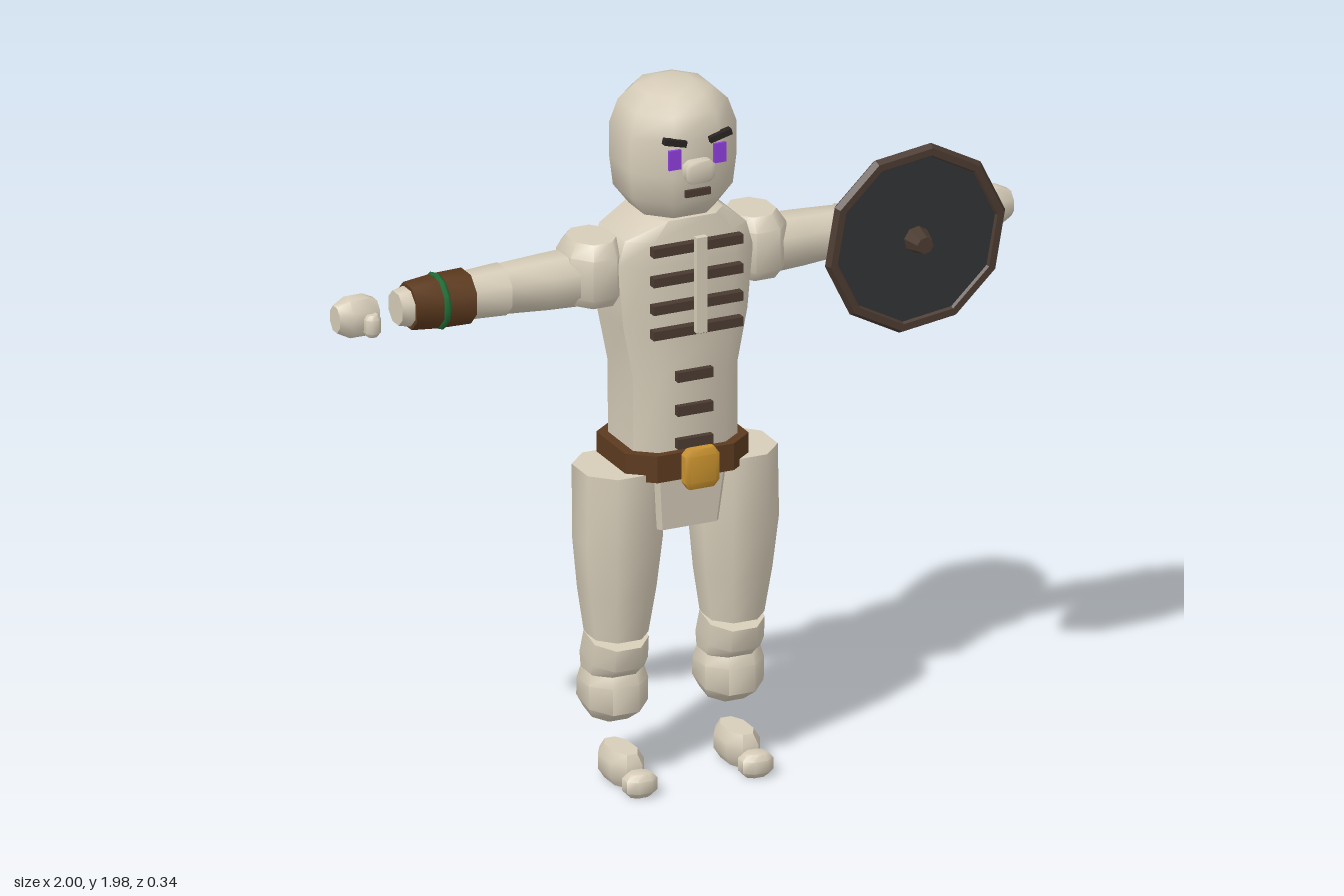
import * as THREE from 'three';
import { toCreasedNormals } from 'three/addons/utils/BufferGeometryUtils.js';

const mat = (name, color) => {
  const m = new THREE.MeshStandardMaterial({ color });
  m.name = name;
  return m;
};

// Capped octagonal loft, bottom to top. Section: [y, cx, cz, halfX, halfZ, tilt in z]
function loft(sections, f = 0.45, crease = 0.85) {
  const ring = [[1, -f], [1, f], [f, 1], [-f, 1], [-1, f], [-1, -f], [-f, -1], [f, -1]];
  const n = ring.length, pos = [], idx = [];
  for (const [y, cx, cz, hx, hz, tilt = 0] of sections)
    for (const [px, pz] of ring) pos.push(cx + px * hx, y + tilt * pz * hz, cz + pz * hz);
  const last = (sections.length - 1) * n;
  const bottom = pos.length / 3, top = bottom + 1;
  for (const [y, cx, cz] of [sections[0], sections[sections.length - 1]]) pos.push(cx, y, cz);
  for (let k = 0; k < n; k++) {
    const k1 = (k + 1) % n;
    for (let r = 0; r < last; r += n)
      idx.push(r + k, r + n + k, r + k1, r + k1, r + n + k, r + n + k1);
    idx.push(bottom, k, k1, top, last + k1, last + k);
  }
  const g = new THREE.BufferGeometry();
  g.setAttribute('position', new THREE.Float32BufferAttribute(pos, 3));
  g.setIndex(idx);
  return toCreasedNormals(g, crease);
}

export function createModel() {
  const root = new THREE.Group();
  root.name = 'skeletonWarrior';

  const bone = mat('bone', 0xd6ccb8);
  const leather = mat('leather', 0x5c3a1e);
  const darkBrown = mat('darkBrown', 0x4a3a30);
  const iron = mat('iron', 0x323335);
  const gold = mat('gold', 0xc9922e);
  const green = mat('green', 0x1f6b35);
  const purple = mat('purple', 0x8f3fdc);
  const black = mat('black', 0x2a2422);

  const add = (name, geo, m, parent = root) => {
    const mesh = new THREE.Mesh(geo, m);
    mesh.name = name;
    parent.add(mesh);
    return mesh;
  };
  const box = (name, m, w, h, d, x, y, z) => {
    const b = add(name, new THREE.BoxGeometry(w, h, d), m);
    b.position.set(x, y, z);
    return b;
  };

  // Head
  add('head', loft([
    [1.615, 0, -0.02, 0.1, 0.1], [1.68, 0, -0.02, 0.148, 0.14], [1.76, 0, -0.02, 0.157, 0.148],
    [1.86, 0, -0.02, 0.157, 0.15], [1.925, 0, -0.02, 0.135, 0.135], [1.965, 0, -0.02, 0.095, 0.1],
    [1.98, 0, -0.02, 0.05, 0.055],
  ], 0.45, 1.1), bone);

  // Face
  add('nose', loft([
    [1.743, 0, 0.143, 0.03, 0.014], [1.757, 0, 0.143, 0.042, 0.018],
    [1.793, 0, 0.143, 0.042, 0.018], [1.805, 0, 0.143, 0.03, 0.014],
  ], 0.7), bone);
  box('mouth', darkBrown, 0.074, 0.02, 0.009, 0, 1.71, 0.136);
  for (const s of [-1, 1]) {
    box('eye', purple, 0.036, 0.056, 0.009, s * 0.067, 1.813, 0.133);
    const brow = box('brow', black, 0.066, 0.017, 0.02, s * 0.067, 1.863, 0.133);
    brow.rotation.z = s * 0.25;
  }

  // Torso and pelvis
  add('torso', loft([
    [0.9, 0, -0.02, 0.155, 0.122], [1.17, 0, -0.022, 0.155, 0.125], [1.32, 0, -0.023, 0.184, 0.128],
    [1.5, 0, -0.023, 0.2, 0.129], [1.57, 0, -0.02, 0.18, 0.125], [1.625, 0, -0.015, 0.11, 0.115],
  ], 0.64), bone);
  add('pelvis', loft([
    [0.73, 0, -0.025, 0.1, 0.11], [0.92, 0, -0.022, 0.122, 0.125],
  ], 0.8, 0.5), bone);

  // Ribs, breastbone and belly bars
  for (const y of [1.555, 1.47, 1.39, 1.317]) box('rib', darkBrown, 0.266, 0.026, 0.025, 0, y, 0.13);
  box('breastbone', bone, 0.032, 0.275, 0.018, 0, 1.452, 0.156);
  for (const y of [1.178, 1.08, 0.985]) box('bellyBar', darkBrown, 0.105, 0.028, 0.018, 0, y, 0.115);

  // Belt and buckle
  add('belt', loft([
    [0.885, 0, -0.022, 0.183, 0.146], [0.962, 0, -0.022, 0.183, 0.146],
  ], 0.62, 0.5), leather);
  add('buckle', loft([
    [0.866, 0, 0.152, 0.038, 0.011], [0.885, 0, 0.152, 0.05, 0.018],
    [0.962, 0, 0.152, 0.05, 0.018], [0.98, 0, 0.152, 0.038, 0.011],
  ], 0.75, 0.5), gold);

  for (const s of [-1, 1]) {
    // Leg
    const leg = new THREE.Group();
    leg.name = s > 0 ? 'leftLeg' : 'rightLeg';
    leg.position.x = s * 0.172;
    root.add(leg);
    add('thigh', loft([
      [0.42, 0, -0.012, 0.078, 0.084], [0.55, 0, -0.008, 0.098, 0.094],
      [0.7, 0, -0.003, 0.113, 0.104], [0.905, 0, -0.008, 0.11, 0.112],
    ]), bone, leg);
    add('shin', loft([
      [0.305, 0, -0.037, 0.078, 0.07], [0.35, 0, -0.027, 0.083, 0.088, -0.2],
      [0.415, 0, -0.012, 0.08, 0.08, -0.25],
    ]), bone, leg);
    add('ankle', loft([
      [0.182, 0, -0.06, 0.062, 0.062, -0.22], [0.222, 0, -0.038, 0.087, 0.09, -0.2],
      [0.28, 0, -0.035, 0.088, 0.086], [0.312, 0, -0.037, 0.08, 0.072],
    ]), bone, leg);
    add('foot', loft([
      [0.004, 0, 0.018, 0.034, 0.07], [0.03, 0, 0.018, 0.05, 0.087],
      [0.072, 0, 0.018, 0.05, 0.087], [0.1, 0, 0.018, 0.034, 0.07],
    ]), bone, leg);
    add('toe', loft([
      [0, 0, 0.135, 0.03, 0.022], [0.016, 0, 0.135, 0.045, 0.036],
      [0.05, 0, 0.135, 0.045, 0.036], [0.066, 0, 0.135, 0.03, 0.022],
    ]), bone, leg);

    // Arm: sections run outward along x, [x, centre z, half height, half depth]
    const arm = new THREE.Group();
    arm.name = s > 0 ? 'leftArm' : 'rightArm';
    arm.position.y = 1.455;
    root.add(arm);
    const limb = (name, m, secs) => add(name,
      loft(secs.map(([x, cz, hy, hz]) => [x, 0, cz, hy, hz])).rotateZ(-s * Math.PI / 2), m, arm);
    add('shoulder', loft([
      [-0.068, s * 0.24, -0.03, 0.065, 0.08], [-0.04, s * 0.242, -0.03, 0.08, 0.1],
      [0.075, s * 0.242, -0.03, 0.078, 0.1], [0.112, s * 0.237, -0.03, 0.06, 0.072],
    ]), bone, arm);
    limb('upperArm', bone, [[0.2, -0.03, 0.068, 0.068], [0.28, -0.032, 0.074, 0.074],
      [0.38, -0.033, 0.07, 0.07], [0.5, -0.036, 0.063, 0.062]]);
    limb('forearm', bone, [[0.5, -0.036, 0.066, 0.066], [0.62, -0.034, 0.06, 0.058],
      [0.79, -0.03, 0.05, 0.05], [0.818, -0.03, 0.044, 0.044]]);
    limb('bracer', leather, [[0.608, -0.032, 0.07, 0.068], [0.7, -0.032, 0.068, 0.066],
      [0.783, -0.03, 0.06, 0.06]]);
    const band = add('bracerBand', new THREE.TorusGeometry(0.07, 0.01, 6, 12), green, arm);
    band.rotation.y = Math.PI / 2;
    band.position.set(s * 0.695, 0, -0.032);
    limb('hand', bone, [[0.882, -0.025, 0.04, 0.034], [0.91, -0.025, 0.053, 0.046],
      [0.965, -0.025, 0.053, 0.046], [1, -0.025, 0.036, 0.03]]);
    add('thumb', loft([
      [-0.045, s * 0.913, 0.024, 0.014, 0.014], [-0.033, s * 0.913, 0.024, 0.022, 0.022],
      [0.006, s * 0.913, 0.024, 0.022, 0.022], [0.018, s * 0.913, 0.024, 0.014, 0.014],
    ]), bone, arm);
  }

  // Ten-sided shield carried on the left arm
  const shield = new THREE.Group();
  shield.name = 'shield';
  shield.position.set(0.66, 1.455, 0);
  shield.rotation.z = 80 * Math.PI / 180;
  root.add(shield);
  const disc = (name, m, rFront, rBack, depth, sides, z) => {
    const g = new THREE.CylinderGeometry(rFront, rBack, depth, sides);
    g.rotateX(Math.PI / 2).rotateZ(-Math.PI / 2);
    add(name, toCreasedNormals(g, 0.3), m, shield).position.z = z;
  };
  disc('shieldFace', iron, 0.248, 0.236, 0.06, 10, 0.083);
  const rim = new THREE.TorusGeometry(0.25, 0.02, 6, 10);
  add('shieldRim', toCreasedNormals(rim, 0.3), darkBrown, shield).position.z = 0.104;
  disc('shieldBoss', darkBrown, 0.024, 0.038, 0.055, 8, 0.142);

  return root;
}
